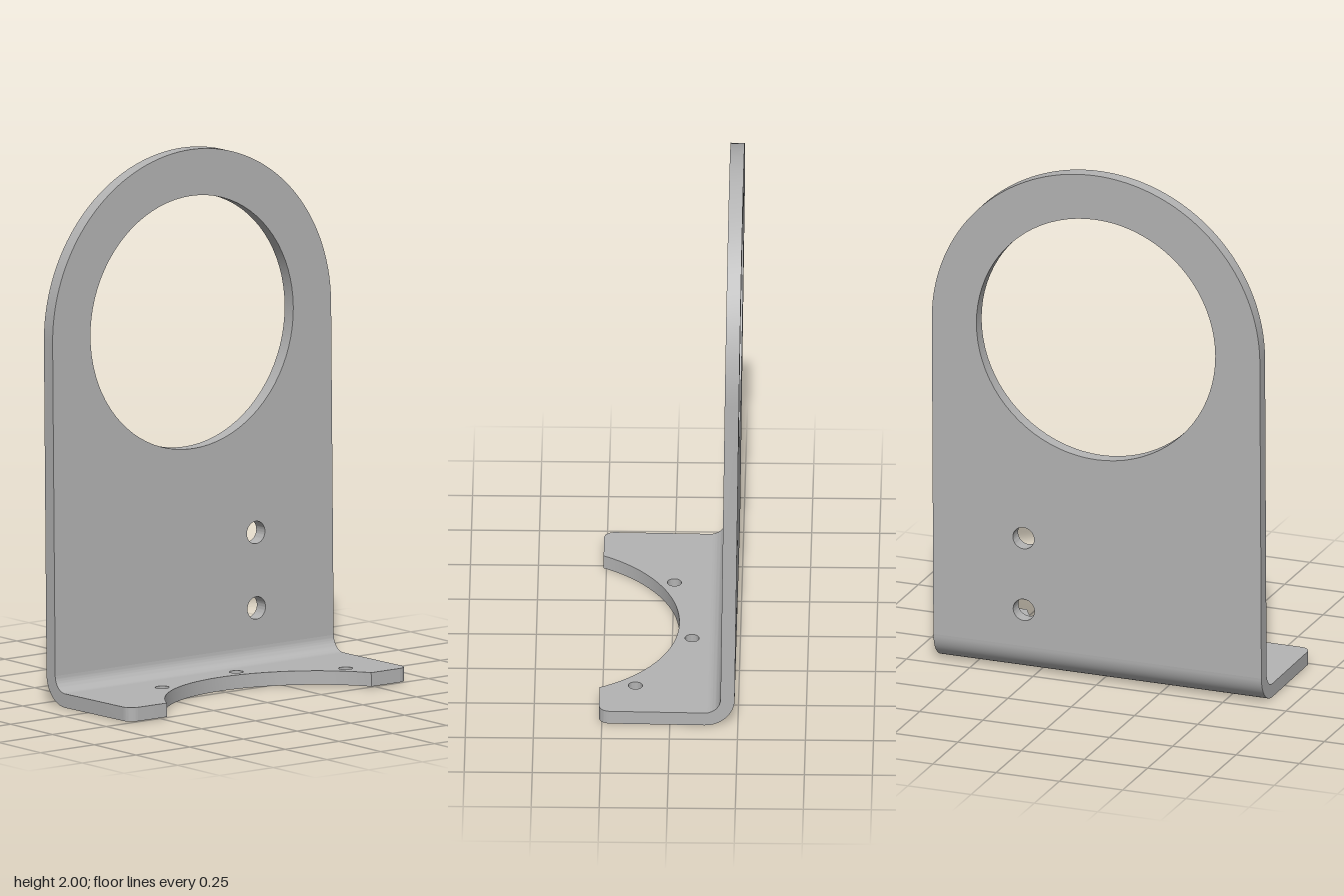
import * as THREE from 'three';
import { toCreasedNormals } from 'three/addons/utils/BufferGeometryUtils.js';

const T = 0.052;        // sheet thickness
const W = 0.648;        // half width
const R = 0.11;         // outer bend radius
const H = 2.0;          // wall height
const L = 0.498;        // base length
const LEAN = 0.0125;    // slight lean of the whole bracket

function addHole(shape, x, y, r) {
  const hole = new THREE.Path();
  hole.absarc(x, y, r, 0, Math.PI * 2, true);
  shape.holes.push(hole);
}

function extrude(shape, depth, curveSegments) {
  return new THREE.ExtrudeGeometry(shape, { depth, bevelEnabled: false, curveSegments });
}

// Removes the hidden faces where two parts meet, then smooths the curved sides.
function finish(geometry, isSeam) {
  const src = geometry.index ? geometry.toNonIndexed() : geometry;
  const p = src.attributes.position;
  const kept = [];
  for (let i = 0; i < p.count; i += 3) {
    const tri = [0, 1, 2].map((k) => new THREE.Vector3().fromBufferAttribute(p, i + k));
    if (!isSeam(tri)) tri.forEach((v) => kept.push(v.x, v.y, v.z));
  }
  const out = new THREE.BufferGeometry();
  out.setAttribute('position', new THREE.Float32BufferAttribute(kept, 3));
  out.computeVertexNormals();
  return toCreasedNormals(out, 0.5);
}
const allAt = (tri, axis, value) => tri.every((v) => Math.abs(v[axis] - value) < 1e-4);

// Upright plate with a round top, a large opening and two bolt holes
function wallGeometry() {
  const yc = H - W;
  const s = new THREE.Shape();
  s.moveTo(-W, R);
  s.lineTo(W, R);
  s.lineTo(W, yc);
  s.absarc(0, yc, W, 0, Math.PI, false);
  s.lineTo(-W, R);
  addHole(s, 0, 1.355, 0.472);
  addHole(s, 0.29, 0.535, 0.042);
  addHole(s, 0.29, 0.253, 0.042);
  const g = extrude(s, T, 40).rotateY(Math.PI / 2);
  return finish(g, (t) => allAt(t, 'y', R));
}

// Quarter-round fold between wall and base
function bendGeometry() {
  const s = new THREE.Shape();
  s.absarc(R, R, R, Math.PI, Math.PI * 1.5, false);
  s.lineTo(R, T);
  s.absarc(R, R, R - T, Math.PI * 1.5, Math.PI, true);
  s.lineTo(0, R);
  const g = extrude(s, 2 * W, 10).translate(0, 0, -W);
  return finish(g, (t) => allAt(t, 'y', R) || allAt(t, 'x', R));
}

// Base flange with rounded corners, an arc-shaped cut and three screw holes
function baseGeometry() {
  const c = 0.04, cutX = 0.75, cutR = 0.538;
  const a = Math.acos((L - cutX) / cutR);
  const cutZ = cutR * Math.sin(a);
  const s = new THREE.Shape();
  s.moveTo(R, -W);
  s.lineTo(L - c, -W);
  s.absarc(L - c, -W + c, c, -Math.PI / 2, 0, false);
  s.lineTo(L, -cutZ);
  s.absarc(cutX, 0, cutR, -a, a, true);
  s.lineTo(L, W - c);
  s.absarc(L - c, W - c, c, 0, Math.PI / 2, false);
  s.lineTo(R, W);
  s.lineTo(R, -W);
  for (const [x, z] of [[0.367, -0.458], [0.164, -0.107], [0.235, 0.293]]) addHole(s, x, z, 0.026);
  const g = extrude(s, T, 24).rotateX(Math.PI / 2).translate(0, T, 0);
  return finish(g, (t) => allAt(t, 'x', R));
}

export function createModel() {
  const steel = new THREE.MeshStandardMaterial({ color: 0xb4b4b4 });
  steel.name = 'plain steel grey';

  const bracket = new THREE.Group();
  bracket.name = 'bracket';
  const parts = { uprightPlate: wallGeometry(), bend: bendGeometry(), baseFlange: baseGeometry() };
  for (const [name, geometry] of Object.entries(parts)) {
    const mesh = new THREE.Mesh(geometry, steel);
    mesh.name = name;
    bracket.add(mesh);
  }
  bracket.rotation.z = LEAN;
  bracket.position.set(-0.237, -0.0012, 0);

  const model = new THREE.Group();
  model.name = 'mountingBracket';
  model.add(bracket);
  return model;
}
